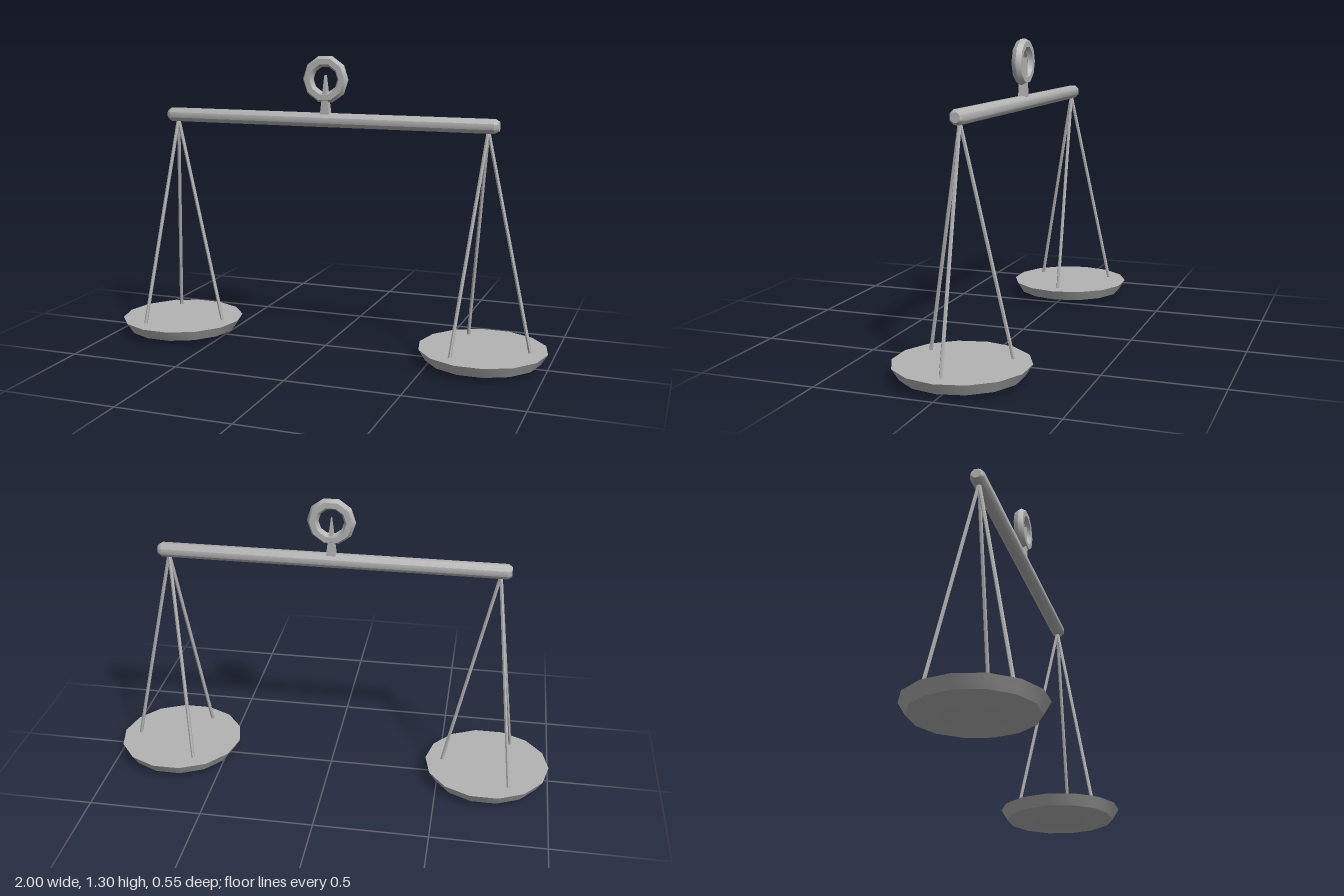
import * as THREE from 'three';
import { toCreasedNormals } from 'three/addons/utils/BufferGeometryUtils.js';

const metal = new THREE.MeshStandardMaterial({ color: 0xb4b4b4 });
metal.name = 'greyMetal';

const CREASE = 0.87;

function part(name, geometry, parent) {
  const mesh = new THREE.Mesh(toCreasedNormals(geometry, CREASE), metal);
  mesh.name = name;
  parent.add(mesh);
  return mesh;
}

const lathe = (points, sides, start) =>
  new THREE.LatheGeometry(points.map(([r, y]) => new THREE.Vector2(r, y)), sides, start);

// Thin straight rod between two points
function rod(name, from, to, radius, parent) {
  const dir = to.clone().sub(from);
  const mesh = part(name, new THREE.CylinderGeometry(radius, radius, dir.length(), 6), parent);
  mesh.position.copy(from).add(to).multiplyScalar(0.5);
  mesh.quaternion.setFromUnitVectors(new THREE.Vector3(0, 1, 0), dir.normalize());
}

// Pan hanging on three rods
function hangingPan(name, x) {
  const group = new THREE.Group();
  group.name = name;
  group.position.x = x;
  part('pan', lathe([[0, 0.004], [0.25, 0.025], [0.28, 0.073], [0, 0.073]], 14, Math.PI / 2), group);
  for (let i = 0; i < 3; i++) {
    const a = (i * Math.PI * 2) / 3;
    const foot = new THREE.Vector3(0.205 * Math.cos(a), 0.07, 0.205 * Math.sin(a));
    rod('suspensionRod', foot, new THREE.Vector3(0, 1.01, 0), 0.008, group);
  }
  return group;
}

export function createModel() {
  const model = new THREE.Group();
  model.name = 'balanceScale';

  // Eight-sided beam with bevelled ends
  const beam = part('beam', lathe(
    [[0, -0.766], [0.021, -0.766], [0.0325, -0.748], [0.0325, 0.748], [0.021, 0.766], [0, 0.766]],
    8, Math.PI / 8).rotateZ(-Math.PI / 2), model);
  beam.position.y = 1.03;

  // Pointer wedge standing on the beam
  const wedge = new THREE.Shape([
    new THREE.Vector2(-0.022, 1.045), new THREE.Vector2(0.022, 1.045), new THREE.Vector2(0, 1.225)]);
  part('pointer', new THREE.ExtrudeGeometry(wedge, { depth: 0.034, bevelEnabled: false })
    .translate(0, 0, -0.017), model);

  // Carrying ring
  const ring = part('ring', new THREE.TorusGeometry(0.08, 0.025, 6, 10), model);
  ring.position.y = 1.207;

  model.add(hangingPan('leftPan', 0.72), hangingPan('rightPan', -0.72));
  return model;
}
